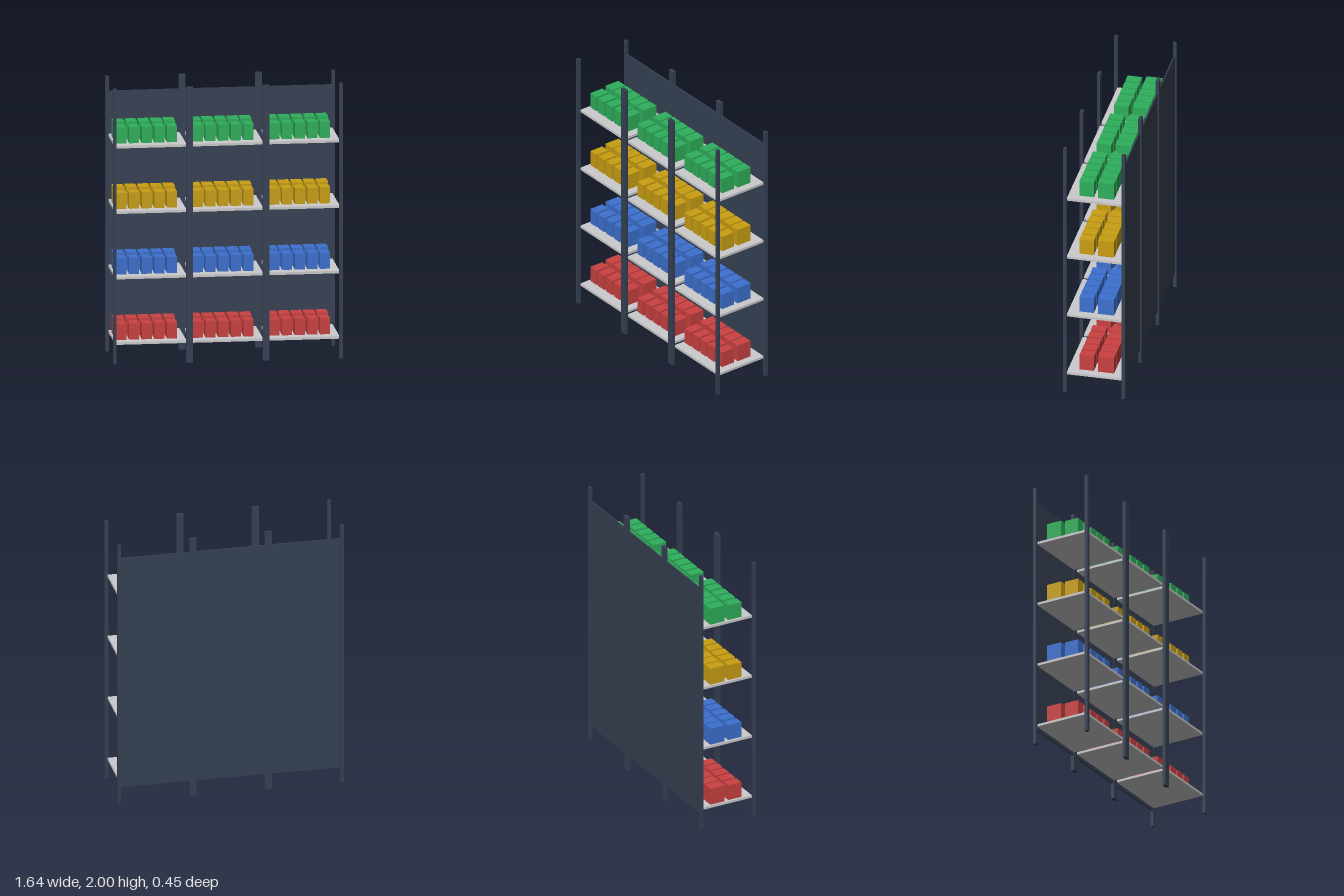
import * as THREE from 'three';

const mat = (name, color) => {
  const m = new THREE.MeshStandardMaterial({ color });
  m.name = name;
  return m;
};

export function createModel() {
  const model = new THREE.Group();
  model.name = 'shelvingUnit';

  const steel = mat('dark slate steel', 0x364153);
  const board = mat('light grey board', 0xcbcbcd);
  // one box colour per shelf, from the bottom up
  const boxMats = [
    mat('red', 0xca4141),
    mat('blue', 0x3c70ce),
    mat('yellow', 0xc99f12),
    mat('green', 0x2eaf5b),
  ];

  const addBox = (parent, name, material, w, h, d, x, y, z) => {
    const mesh = new THREE.Mesh(new THREE.BoxGeometry(w, h, d), material);
    mesh.name = name;
    mesh.position.set(x, y + h / 2, z); // y is the underside
    parent.add(mesh);
  };

  const bay = 0.547;
  const post = 0.0245;
  const postZ = 0.2138;
  const shelfThick = 0.018;

  // two box rows on each shelf: the back one is slightly larger
  const rows = [
    { name: 'frontBox', w: 0.071, h: 0.117, d: 0.106, z: 0.072 },
    { name: 'backBox', w: 0.078, h: 0.126, d: 0.116, z: -0.07 },
  ];

  for (let b = -1; b <= 1; b++) {
    const unit = new THREE.Group();
    unit.name = 'bay';
    unit.position.x = b * bay;
    model.add(unit);

    // four corner posts; neighbouring bays stand post to post
    for (const sx of [-1, 1])
      for (const sz of [-1, 1])
        addBox(unit, 'post', steel, post, 2, post, sx * (bay - post) / 2, 0, sz * postZ);

    // back panel
    addBox(unit, 'backPanel', steel, bay - post, 1.782, 0.01, 0, 0.113, -0.211);

    // shelves with their boxes
    boxMats.forEach((material, i) => {
      const top = 0.156 + i * 0.4755;
      addBox(unit, 'shelf', board, 0.508, shelfThick, 0.406, 0, top - shelfThick, 0);
      for (const r of rows)
        for (let k = 0; k < 5; k++)
          addBox(unit, r.name, material, r.w, r.h, r.d, -0.202 + k * 0.0905, top, r.z);
    });
  }

  return model;
}
